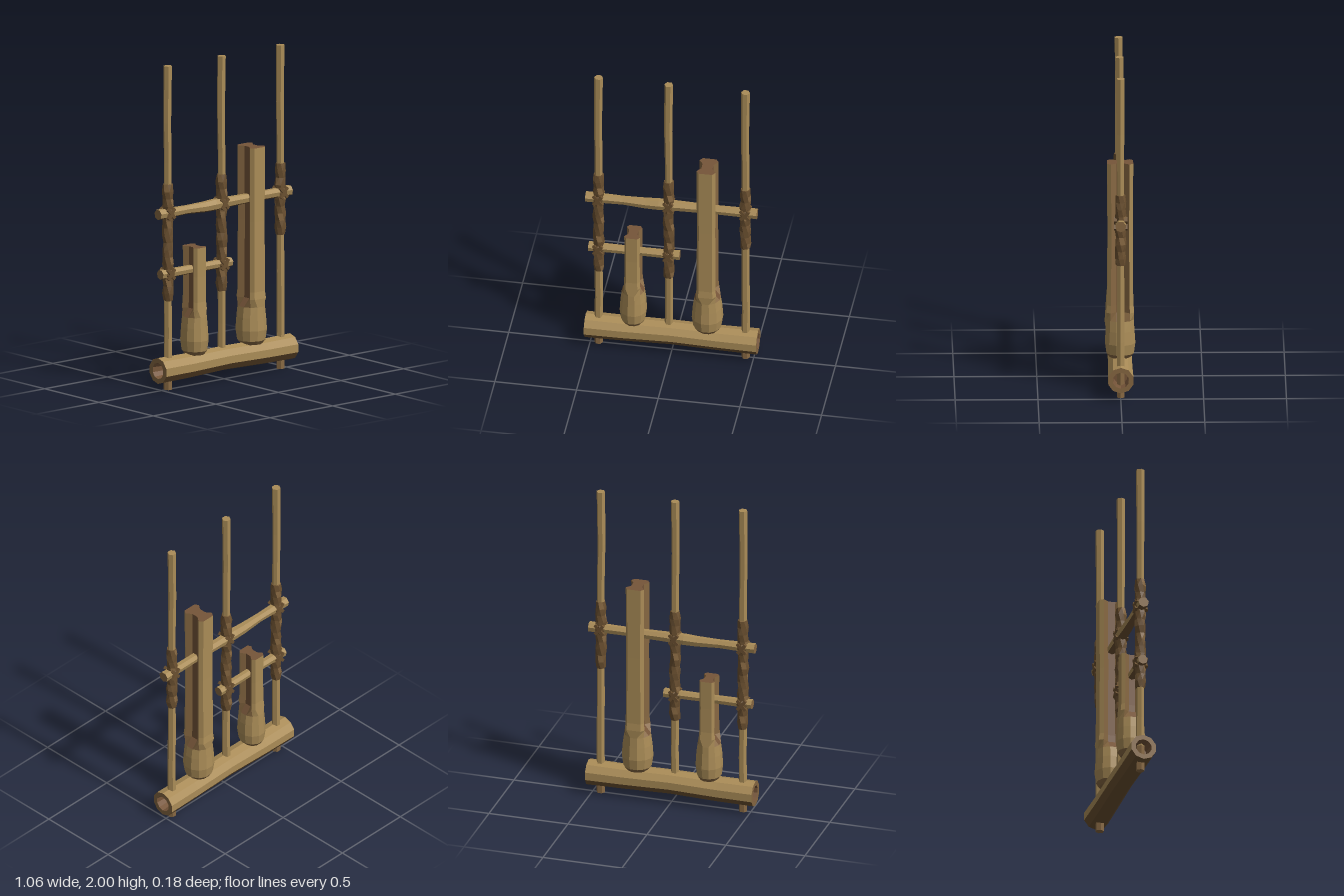
import * as THREE from 'three';

const colour = (name, hex) => {
  const m = new THREE.MeshStandardMaterial({ color: hex, flatShading: true });
  m.name = name;
  return m;
};
const materials = [
  colour('bamboo', 0xaa8c57), colour('cutBrown', 0x765539),
  colour('cordUmber', 0x6b5030), colour('agedBamboo', 0x876842)
];
const TAN = 0, BROWN = 1, UMBER = 2, AGED = 3;

// Small seeded generator for hand-cut irregularity
let seed = 7;
const rnd = () => {
  seed = (seed * 16807) % 2147483647;
  return seed / 2147483647 - 0.5;
};

// Skins a stack of rings (bottom to top); paint(ring, side) picks the material, caps use ring -1 and -2
function loft(name, rings, paint) {
  const lists = materials.map(() => []);
  const add = (m, ...pts) => pts.forEach(p => lists[m].push(p.x, p.y, p.z));
  const n = rings[0].length, last = rings.length - 1;
  const mid = ring => ring.reduce((s, p) => s.add(p), new THREE.Vector3()).divideScalar(n);
  const c0 = mid(rings[0]), c1 = mid(rings[last]);
  for (let k = 0; k < n; k++) {
    const j = (k + 1) % n;
    for (let i = 0; i < last; i++) {
      const [a, b] = [rings[i], rings[i + 1]];
      add(paint(i, k), a[k], b[k], a[j], a[j], b[k], b[j]);
    }
    add(paint(-1, k), c0, rings[0][k], rings[0][j]);
    add(paint(-2, k), c1, rings[last][j], rings[last][k]);
  }
  const g = new THREE.BufferGeometry();
  g.setAttribute('position', new THREE.Float32BufferAttribute(lists.flat(), 3));
  let start = 0;
  lists.forEach((l, m) => {
    if (l.length) g.addGroup(start, l.length / 3, m);
    start += l.length / 3;
  });
  g.computeVertexNormals();
  const mesh = new THREE.Mesh(g, materials);
  mesh.name = name;
  return mesh;
}

// Slightly crooked round rod along y; stations are [y, radius, sideways shift]
function rod(name, stations, sides, paint, jitter = 0) {
  const rings = stations.map(([y, r, dx = 0], i) => Array.from({ length: sides }, (_, k) => {
    const a = (k + (jitter ? i * 0.35 : 0)) / sides * Math.PI * 2;
    const rr = r * (1 + rnd() * jitter);
    return new THREE.Vector3(dx + Math.cos(a) * rr, y, Math.sin(a) * rr);
  }));
  return loft(name, rings, paint);
}

// Lays a rod along x at a height; its local +x side then faces down
function lay(mesh, y) {
  mesh.rotation.z = -Math.PI / 2;
  mesh.position.y = y;
  return mesh;
}

// Cord binding wound around a pole between two heights
function binding(x, y0, y1) {
  const steps = Math.round((y1 - y0) / 0.045), st = [];
  for (let i = 0; i <= steps; i++) {
    const end = i === 0 || i === steps;
    st.push([y0 + (y1 - y0) * i / steps, end ? 0.029 : 0.032 + (i % 2) * 0.003, rnd() * 0.005]);
  }
  const m = rod('cordBinding', st, 7, (i, k) => ((i * 3 + k) % 7 === 0 ? AGED : UMBER), 0.16);
  m.position.x = x;
  return m;
}

// Crossed lashing where a bar meets a pole
function lashing(x, y) {
  const g = new THREE.Group();
  g.name = 'lashing';
  for (const side of [-1, 1]) for (const lean of [-1, 1]) {
    const m = new THREE.Mesh(new THREE.BoxGeometry(0.02, 0.08, 0.016), materials[UMBER]);
    m.name = 'lashingStrand';
    m.position.z = side * 0.032;
    m.rotation.z = lean * 0.7;
    g.add(m);
  }
  const core = new THREE.Mesh(new THREE.IcosahedronGeometry(0.046, 0), materials[UMBER]);
  core.name = 'lashingKnot';
  g.add(core);
  g.position.set(x, y, 0);
  return g;
}

// Rattle tube: closed swollen foot, then a shaft with a long groove on each side
function rattle(name, x, top, w, d, rx, rz) {
  const foot = (y, s, t = s) => Array.from({ length: 12 }, (_, k) => {
    const a = (k * 30 - 15) * Math.PI / 180;
    return new THREE.Vector3(Math.cos(a) * rx * s, y, Math.sin(a) * rz * t);
  });
  const q = w * 0.58, g = d * 0.28, e = d * 0.7, f = w * 0.72;
  const half = [[q, -g], [q, g], [w, e], [f, d], [-f, d], [-w, e]];
  const outline = half.concat(half.map(([px, pz]) => [-px, -pz]));
  const shaft = (y, s = 1) => outline.map(([px, pz]) => new THREE.Vector3(px * s, y, pz * s));
  const m = loft(name, [
    foot(0.19, 0.7), foot(0.215, 0.9), foot(0.28, 1), foot(0.36, 0.94), foot(0.425, 0.84, 0.9),
    shaft(0.475, 1.07), shaft(0.52), shaft((top + 0.5) / 2, 0.97), shaft(top)
  ], (i, k) => {
    if (i === -2) return BROWN;
    if (i <= 0) return AGED;
    if (i < 4) return TAN;
    return [0, 6].includes(k) ? BROWN : [11, 1, 5, 7].includes(k) ? AGED : TAN;
  });
  m.position.x = x;
  return m;
}

export function createModel() {
  const model = new THREE.Group();
  model.name = 'bambooRattleFrame';

  // Hollow base tube with recessed ends and a weathered underside
  model.add(lay(rod('baseTube', [
    [-0.43, 0.044], [-0.528, 0.05], [-0.528, 0.08], [-0.3, 0.078], [0, 0.075, -0.006],
    [0.3, 0.077], [0.527, 0.08], [0.527, 0.05], [0.43, 0.044]
  ], 10, (i, k) => {
    if (i <= 0 || i === 7) return BROWN;
    if (i === 1 || i === 6) return AGED;
    return [0, 1, 8, 9].includes(k) ? UMBER : TAN;
  }), 0.125));

  // Uprights; the outer two pass through the base
  for (const [x, y0, wrap0] of [[-0.45, 0, 0.55], [-0.02, 0.15, 0.55], [0.45, 0, 0.83]]) {
    const st = [[y0, 0.026], [0.16, 0.026], [0.35, 0.025, 0.002], [0.6, 0.025], [1.1, 0.024],
      [1.4, 0.024], [1.65, 0.025, -0.004], [1.85, 0.026, -0.002], [2, 0.027]];
    const pole = rod('upright', st, 6, i => (i === -1 || i === 0 ? AGED : TAN));
    pole.position.x = x;
    model.add(pole, binding(x, wrap0, 1.27), lashing(x, 1.09));
    if (wrap0 < 0.8) model.add(lashing(x, 0.715));
  }

  // Crossbars with darker undersides and cut ends
  const bars = [
    ['upperCrossbar', 1.09, [[-0.528, 0.033], [-0.45, 0.032], [-0.3, 0.028], [-0.16, 0.034, 0.004],
      [-0.08, 0.037, 0.002], [0.05, 0.033], [0.25, 0.029], [0.45, 0.031], [0.522, 0.034]]],
    ['lowerCrossbar', 0.717, [[-0.51, 0.031], [-0.42, 0.029], [-0.24, 0.027], [-0.05, 0.028], [0.048, 0.031]]]
  ];
  for (const [name, y, st] of bars) {
    model.add(lay(rod(name, st, 7, (i, k) => (i < 0 ? AGED : k === 0 || k === 6 ? UMBER : TAN)), y));
  }

  // Rattle tubes
  model.add(rattle('smallRattleTube', -0.237, 0.855, 0.048, 0.068, 0.083, 0.09));
  model.add(rattle('largeRattleTube', 0.217, 1.41, 0.058, 0.079, 0.096, 0.095));
  return model;
}
